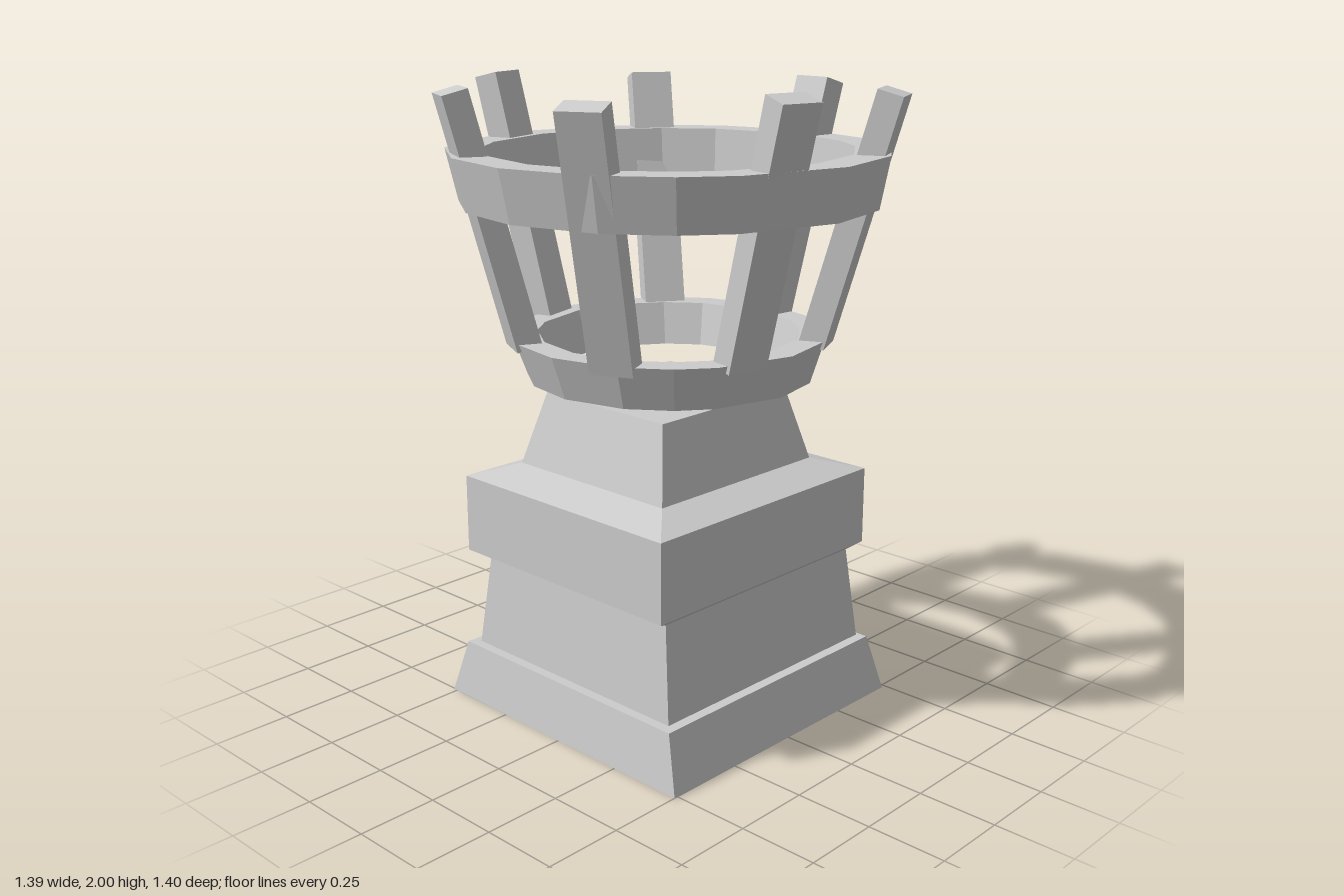
import * as THREE from 'three';

// Skin a list of cross-section loops (each ordered clockwise from above) with flat faces
function loft(loops, closed = false) {
  const pos = [];
  const count = closed ? loops.length : loops.length - 1;
  for (let k = 0; k < count; k++) {
    const lo = loops[k], up = loops[(k + 1) % loops.length], n = lo.length;
    for (let i = 0; i < n; i++) {
      const j = (i + 1) % n;
      pos.push(...lo[j], ...lo[i], ...up[i], ...lo[j], ...up[i], ...up[j]);
    }
  }
  const g = new THREE.BufferGeometry();
  g.setAttribute('position', new THREE.Float32BufferAttribute(pos, 3));
  g.computeVertexNormals();
  return g;
}

// Rectangular section from its height and side positions
const rect = ([y, x0, x1, z0, z1]) => [[x0, y, z0], [x1, y, z0], [x1, y, z1], [x0, y, z1]];

// Hand-cut, slightly uneven ring corners, in degrees clockwise from the back
const RING_ANGLES = [0, 25, 44, 62.5, 90, 117, 133, 155, 180, 210, 225, 244, 270, 293, 316, 332];
const ringLoop = ([r, y, cx]) => RING_ANGLES.map((deg) => {
  const a = THREE.MathUtils.degToRad(deg);
  return [cx + r * Math.sin(a), y, -r * Math.cos(a)];
});

export function createModel() {
  const model = new THREE.Group();
  const stone = new THREE.MeshStandardMaterial({ color: 0xcccccc, flatShading: true });
  stone.name = 'pale grey';

  const add = (name, geometry, parent = model) => {
    const mesh = new THREE.Mesh(geometry, stone);
    mesh.name = name;
    parent.add(mesh);
    return mesh;
  };

  // Square pedestal, turned a hair about its axis
  const pedestal = new THREE.Group();
  pedestal.name = 'pedestal';
  pedestal.rotation.y = -0.01;
  model.add(pedestal);
  const shaftFoot = [0.18, -0.45, 0.445, -0.43, 0.425];
  const shaftTop = [0.48, -0.425, 0.42, -0.395, 0.39];
  const neckFoot = [0.8, -0.355, 0.32, -0.313, 0.308];
  const neckTop = [1.03, -0.293, 0.262, -0.256, 0.25];
  const sections = {
    plinth: [
      [0, 0, 0, 0, 0],
      [0, -0.508, 0.49, -0.51, 0.506],
      [0.18, -0.482, 0.458, -0.458, 0.458],
      shaftFoot,
    ],
    shaft: [shaftFoot, shaftTop],
    block: [
      shaftTop,
      [0.51, -0.486, 0.453, -0.432, 0.43],
      [0.76, -0.486, 0.453, -0.432, 0.43],
      neckFoot,
    ],
    neck: [neckFoot, neckTop, [1.03, -0.015, -0.015, 0, 0]],
  };
  for (const [name, rows] of Object.entries(sections)) add(name, loft(rows.map(rect)), pedestal);

  // Two flared hoops: [radius, height, centre x]
  add('lowerRing', loft([
    [0.45, 1.09, -0.003], [0.495, 1.225, -0.008], [0.41, 1.225, -0.008], [0.37, 1.09, -0.003],
  ].map(ringLoop), true));
  add('upperRing', loft([
    [0.645, 1.63, -0.003], [0.678, 1.79, -0.008], [0.567, 1.79, -0.008], [0.545, 1.63, -0.003],
  ].map(ringLoop), true));

  // Leaning posts: foot x, z at the lower ring, then head x, z, y
  const posts = [
    [-0.075, -0.47, -0.125, -0.65, 1.985],
    [0.31, -0.33, 0.43, -0.51, 1.96],
    [0.423, 0.038, 0.648, 0.057, 1.962],
    [0.235, 0.39, 0.325, 0.585, 1.97],
    [-0.155, 0.42, -0.205, 0.64, 1.985],
    [-0.43, 0.19, -0.635, 0.285, 1.97],
    [-0.405, -0.23, -0.585, -0.32, 1.975],
  ];
  for (const [fx, fz, hx, hz, hy] of posts) {
    const foot = new THREE.Vector3(fx, 1.21, fz);
    const head = new THREE.Vector3(hx, hy, hz);
    const axis = head.clone().sub(foot);
    const length = axis.length();
    axis.normalize();
    const side = new THREE.Vector3(axis.z, 0, -axis.x).normalize();
    const out = new THREE.Vector3().crossVectors(side, axis);
    const post = add('post', new THREE.BoxGeometry(0.134, length, 0.08));
    post.quaternion.setFromRotationMatrix(new THREE.Matrix4().makeBasis(side, axis, out));
    post.position.copy(foot).add(head).multiplyScalar(0.5);
  }
  return model;
}
